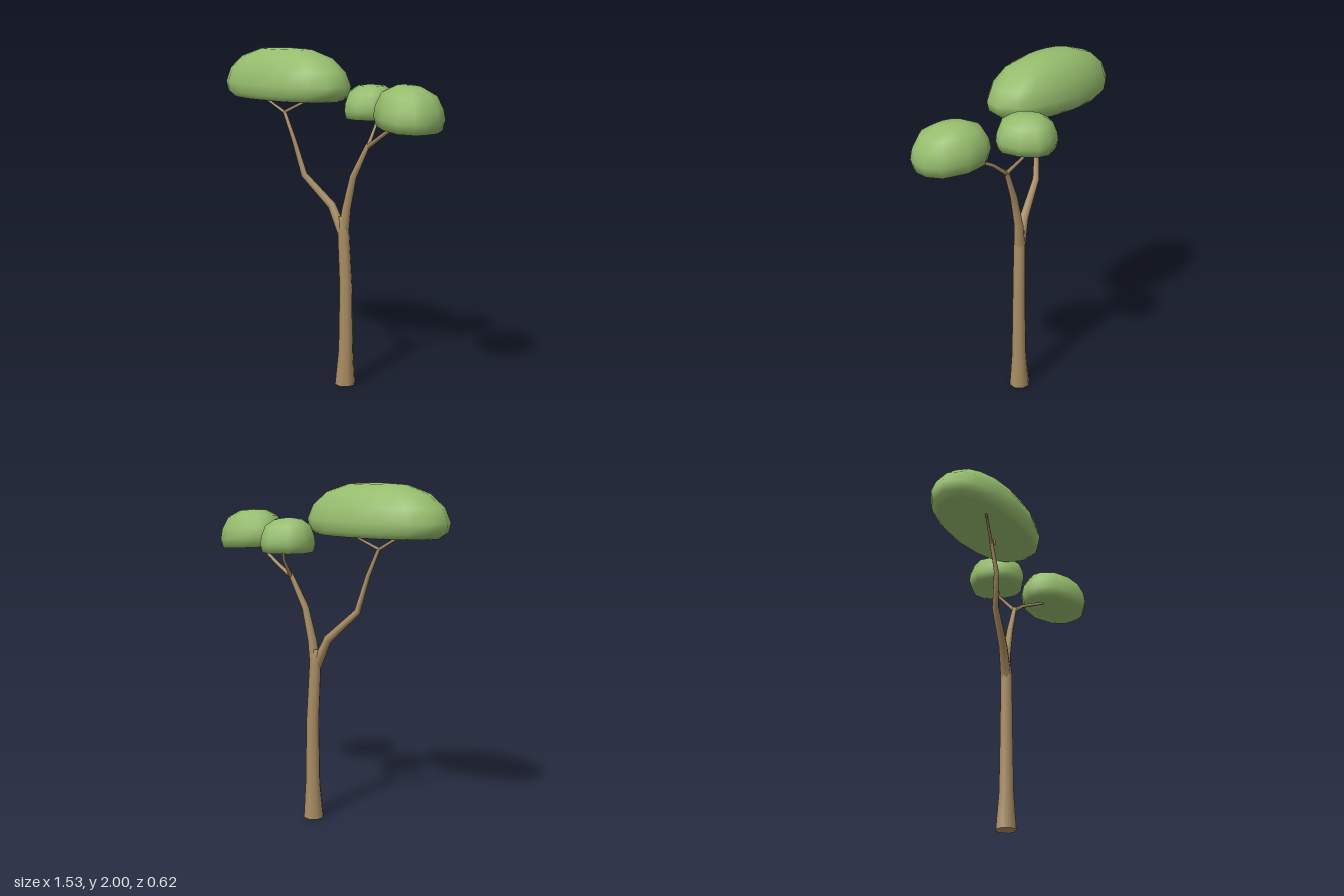
import * as THREE from 'three';
import { mergeVertices } from 'three/addons/utils/BufferGeometryUtils.js';

const bark = new THREE.MeshStandardMaterial({ color: 0xa88d62 });
bark.name = 'bark';
const leaf = new THREE.MeshStandardMaterial({ color: 0x95bc6c });
leaf.name = 'leaf green';

// Skin a stack of equal rings (bottom to top) with smooth normals
function loft(rings) {
  const n = rings[0].length;
  const index = [];
  for (let i = 0; i < rings.length - 1; i++) {
    for (let j = 0; j < n; j++) {
      const a = i * n + j, b = i * n + (j + 1) % n;
      index.push(a, a + n, b, b, a + n, b + n);
    }
  }
  const g = new THREE.BufferGeometry();
  g.setAttribute('position', new THREE.Float32BufferAttribute(rings.flat(2), 3));
  g.setIndex(index);
  const merged = mergeVertices(g, 1e-5);
  merged.computeVertexNormals();
  return merged;
}

// Tapered limb through points [x, y, z, radius]
function limb(name, path, sides) {
  const pts = path.map((p) => new THREE.Vector3(p[0], p[1], p[2]));
  const up = new THREE.Vector3(0, 1, 0);
  const rings = pts.map((p, i) => {
    const dir = pts[Math.min(i + 1, pts.length - 1)].clone().sub(pts[Math.max(i - 1, 0)]).normalize();
    if (p.y === 0) dir.copy(up);
    const q = new THREE.Quaternion().setFromUnitVectors(up, dir);
    return Array.from({ length: sides }, (_, j) => {
      const a = (j / sides) * Math.PI * 2;
      return new THREE.Vector3(Math.cos(a), 0, Math.sin(a))
        .multiplyScalar(path[i][3]).applyQuaternion(q).add(p).toArray();
    });
  });
  // Close the tip
  rings.push(rings[0].map(() => pts[pts.length - 1].toArray()));
  const mesh = new THREE.Mesh(loft(rings), bark);
  mesh.name = name;
  return mesh;
}

// Leaf cushion: plan outline [x, z] scaled to each [scale, y] level, with a tilt
function canopy(name, [cx, cz], outline, levels, tiltX = 0, tiltZ = 0) {
  const rings = levels.map(([s, y]) => outline.map(([x, z]) => {
    const dx = (x - cx) * s, dz = (z - cz) * s;
    return [cx + dx, y + dx * tiltX + dz * tiltZ, cz + dz];
  }));
  const mesh = new THREE.Mesh(loft(rings), leaf);
  mesh.name = name;
  return mesh;
}

export function createModel() {
  const tree = new THREE.Group();
  tree.name = 'tree';

  // Trunk and its underside
  tree.add(limb('trunk', [
    [0.075, 0, -0.04, 0.062], [0.08, 0.22, -0.04, 0.045], [0.08, 0.6, -0.04, 0.039],
    [0.065, 0.94, -0.035, 0.036], [0.06, 1.03, -0.035, 0.026],
  ], 8));
  const base = new THREE.Mesh(new THREE.CircleGeometry(0.062, 8).rotateX(Math.PI / 2), bark);
  base.name = 'trunkBase';
  base.position.set(0.075, 0, -0.04);
  tree.add(base);

  // Main branches
  tree.add(limb('rightBranch', [
    [0.065, 0.92, -0.035, 0.033], [-0.01, 1.09, -0.025, 0.026], [-0.19, 1.26, -0.005, 0.02],
    [-0.245, 1.47, 0.02, 0.014], [-0.315, 1.63, 0.015, 0.011],
  ], 7));
  tree.add(limb('leftBranch', [
    [0.065, 0.92, -0.035, 0.034], [0.083, 1.08, -0.04, 0.027], [0.13, 1.27, -0.035, 0.021],
    [0.225, 1.465, -0.04, 0.014],
  ], 7));

  // Twigs reaching into the leaves
  const twigs = [
    [[-0.315, 1.625, 0.015, 0.01], [-0.4, 1.68, 0.03, 0.008], [-0.5, 1.74, 0.05, 0.006]],
    [[-0.315, 1.625, 0.015, 0.01], [-0.2, 1.685, -0.01, 0.008], [-0.15, 1.75, -0.03, 0.006]],
    [[0.222, 1.45, -0.04, 0.013], [0.215, 1.56, -0.14, 0.009], [0.205, 1.66, -0.16, 0.007]],
    [[0.222, 1.45, -0.04, 0.013], [0.34, 1.535, -0.025, 0.011], [0.47, 1.605, 0.05, 0.009], [0.54, 1.65, 0.09, 0.007]],
  ];
  twigs.forEach((path, i) => tree.add(limb('twig' + (i + 1), path, 6)));

  // Leaf cushions
  tree.add(canopy('largeCanopy', [-0.32, -0.015], [
    [-0.77, -0.1], [-0.71, -0.2], [-0.6, -0.25], [-0.45, -0.265], [-0.25, -0.24], [-0.07, -0.18],
    [0.05, -0.11], [0.11, -0.04], [0.135, 0.07], [0.08, 0.165], [-0.02, 0.215], [-0.17, 0.23],
    [-0.36, 0.205], [-0.55, 0.15], [-0.68, 0.075], [-0.75, 0],
  ], [[0, 1.73], [0.5, 1.722], [0.87, 1.705], [0.97, 1.735], [1, 1.79], [0.92, 1.87],
    [0.72, 1.945], [0.4, 1.992], [0, 2]]));
  tree.add(canopy('smallCanopy', [0.18, -0.14], [
    [0.03, -0.22], [0.1, -0.295], [0.22, -0.315], [0.29, -0.275], [0.33, -0.18],
    [0.325, -0.06], [0.27, 0], [0.19, 0.035], [0.09, 0], [0.03, -0.1],
  ], [[0, 1.615], [0.6, 1.61], [0.93, 1.605], [1, 1.65], [0.97, 1.695], [0.83, 1.755],
    [0.5, 1.79], [0, 1.8]]));
  tree.add(canopy('leftCanopy', [0.56, 0.11], [
    [0.37, 0], [0.42, -0.06], [0.51, -0.09], [0.64, -0.06], [0.75, 0.04], [0.765, 0.14],
    [0.73, 0.23], [0.69, 0.275], [0.6, 0.31], [0.48, 0.265], [0.38, 0.175], [0.355, 0.06],
  ], [[0, 1.605], [0.6, 1.6], [0.92, 1.594], [1, 1.65], [0.95, 1.71], [0.77, 1.78],
    [0.4, 1.818], [0, 1.825]], -0.07, -0.05));

  return tree;
}
